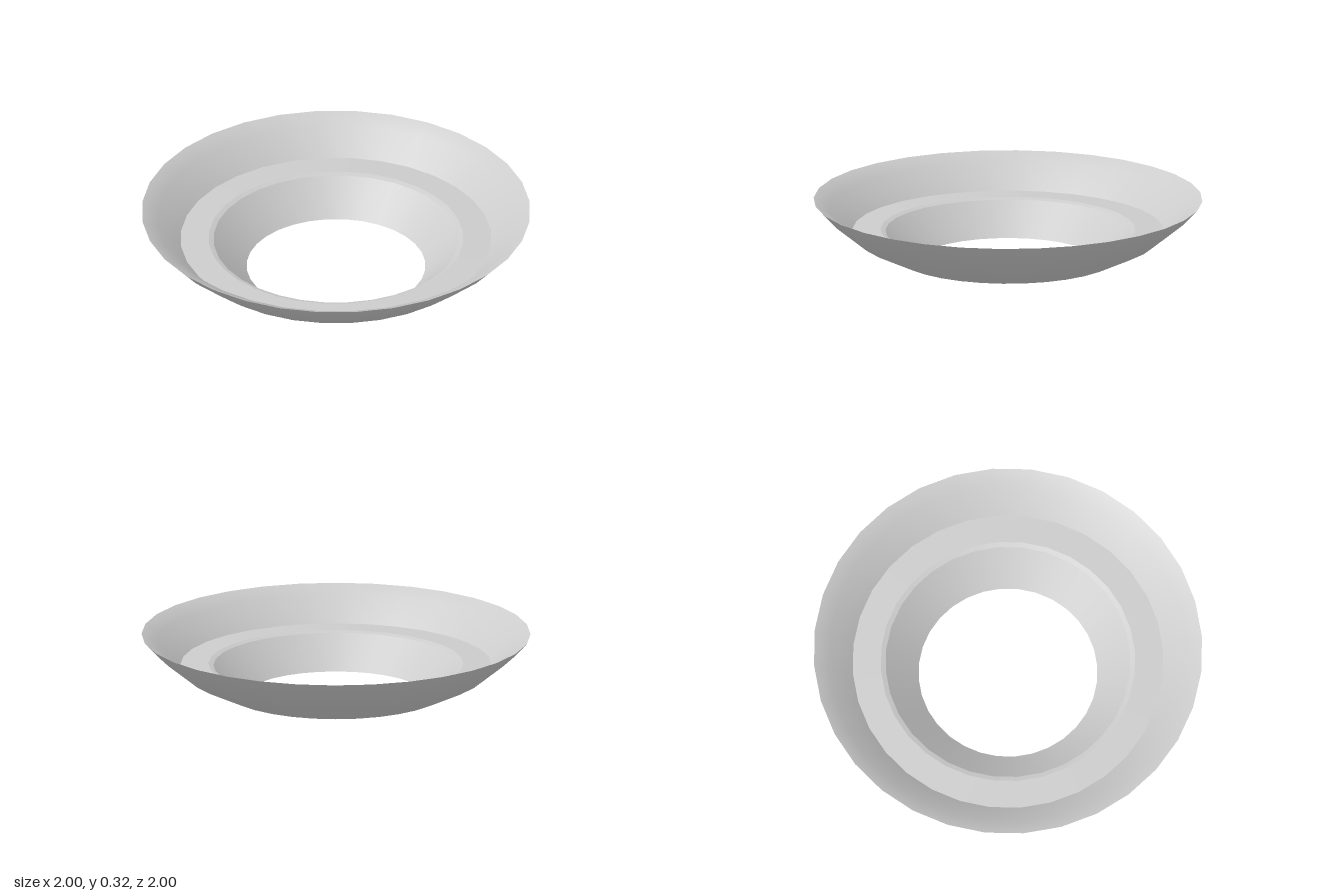
import * as THREE from 'three';

const SEGMENTS = 32;
const TURN = THREE.MathUtils.degToRad(8.3);

export function createModel() {
  const group = new THREE.Group();
  group.name = 'dishRing';
  const material = new THREE.MeshStandardMaterial({ color: 0xcccccc, side: THREE.DoubleSide });

  // Each part is a revolved profile of [radius, height] points; seams between parts stay sharp.
  const revolve = (name, profile) => {
    const points = profile.map(([r, y]) => new THREE.Vector2(r, y));
    const mesh = new THREE.Mesh(new THREE.LatheGeometry(points, SEGMENTS, TURN), material);
    mesh.name = name;
    group.add(mesh);
  };

  // Curved outside, open underneath
  revolve('outerShell', [[0.58, 0.03], [0.77, 0.12], [0.93, 0.25], [1, 0.325]]);

  // Inside, from the rim down to the central opening
  revolve('innerRim', [[1, 0.325], [0.92, 0.283], [0.8, 0.163]]);
  revolve('ledge', [[0.8, 0.163], [0.655, 0.168]]);
  revolve('ledgeBevel', [[0.655, 0.168], [0.63, 0.16]]);
  revolve('centralFunnel', [[0.63, 0.16], [0.46, 0]]);

  return group;
}
